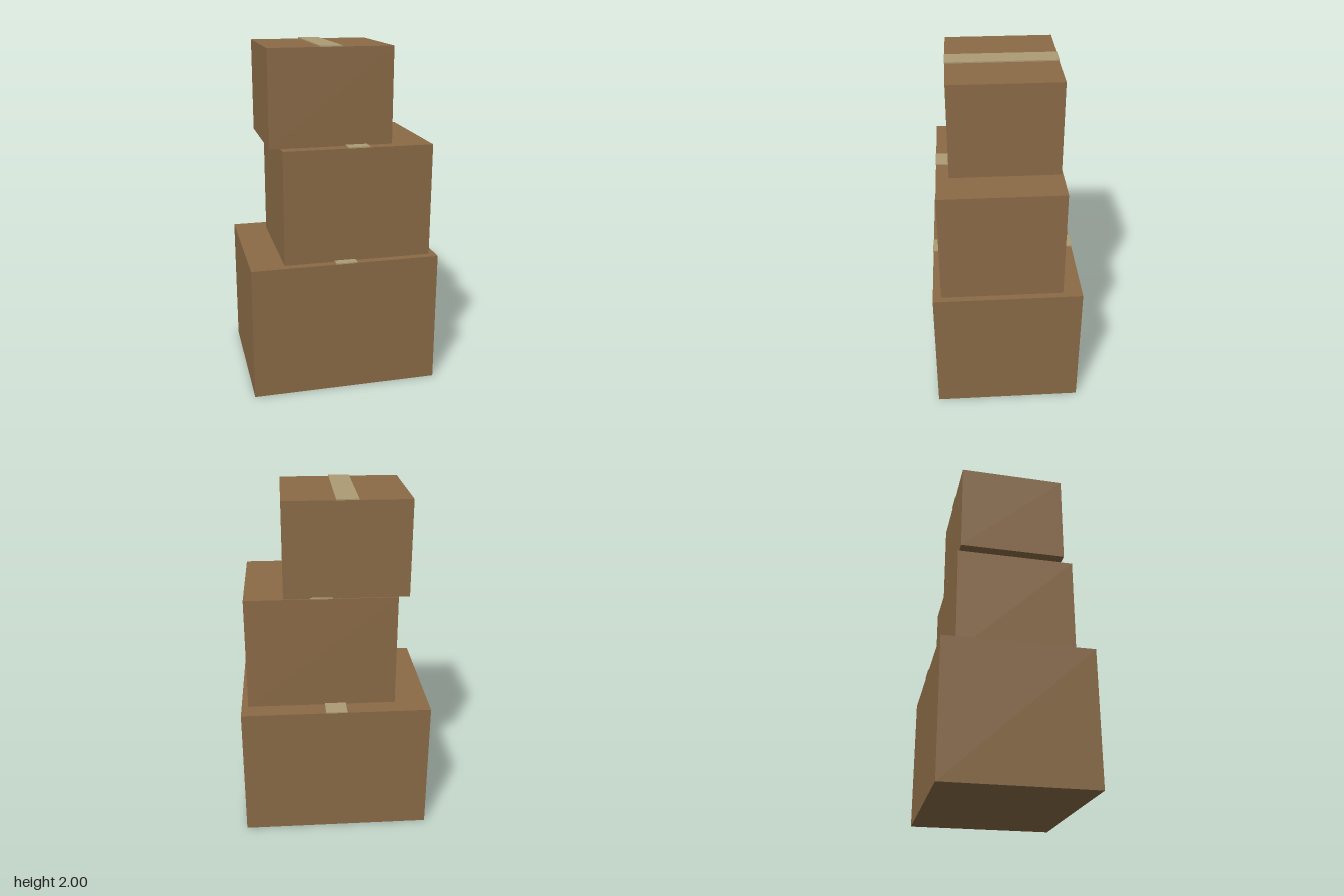
import * as THREE from 'three';

// Stack of cardboard boxes: [name, width, height, depth, base y, centre x, centre z]
const BOXES = [
  ['bottomBox', 1.098, 0.787, 0.864, 0, 0, 0],
  ['middleBox', 0.863, 0.66, 0.707, 0.787, 0.079, 0.031],
  ['topBox', 0.706, 0.546, 0.628, 1.447, -0.063, 0],
];
const TAPE_WIDTH = 0.123;
const TAPE_THICKNESS = 0.007;
const TAPE_OVERHANG = 0.0025;

export function createModel() {
  const cardboard = new THREE.MeshStandardMaterial({ color: 0x8b6b47 });
  cardboard.name = 'cardboard';
  const tapeTan = new THREE.MeshStandardMaterial({ color: 0xad9b74 });
  tapeTan.name = 'tapeTan';

  const model = new THREE.Group();
  model.name = 'boxStack';

  for (const [name, w, h, d, y, x, z] of BOXES) {
    const group = new THREE.Group();
    group.name = name;
    group.position.set(x, y, z);

    // Carton
    const carton = new THREE.Mesh(new THREE.BoxGeometry(w, h, d), cardboard);
    carton.name = 'carton';
    carton.position.y = h / 2;

    // Tape strip running front to back over the lid
    const tape = new THREE.Mesh(
      new THREE.BoxGeometry(TAPE_WIDTH, TAPE_THICKNESS, d + 2 * TAPE_OVERHANG), tapeTan);
    tape.name = 'tapeStrip';
    tape.position.y = h + TAPE_THICKNESS / 2;

    group.add(carton, tape);
    model.add(group);
  }
  return model;
}
